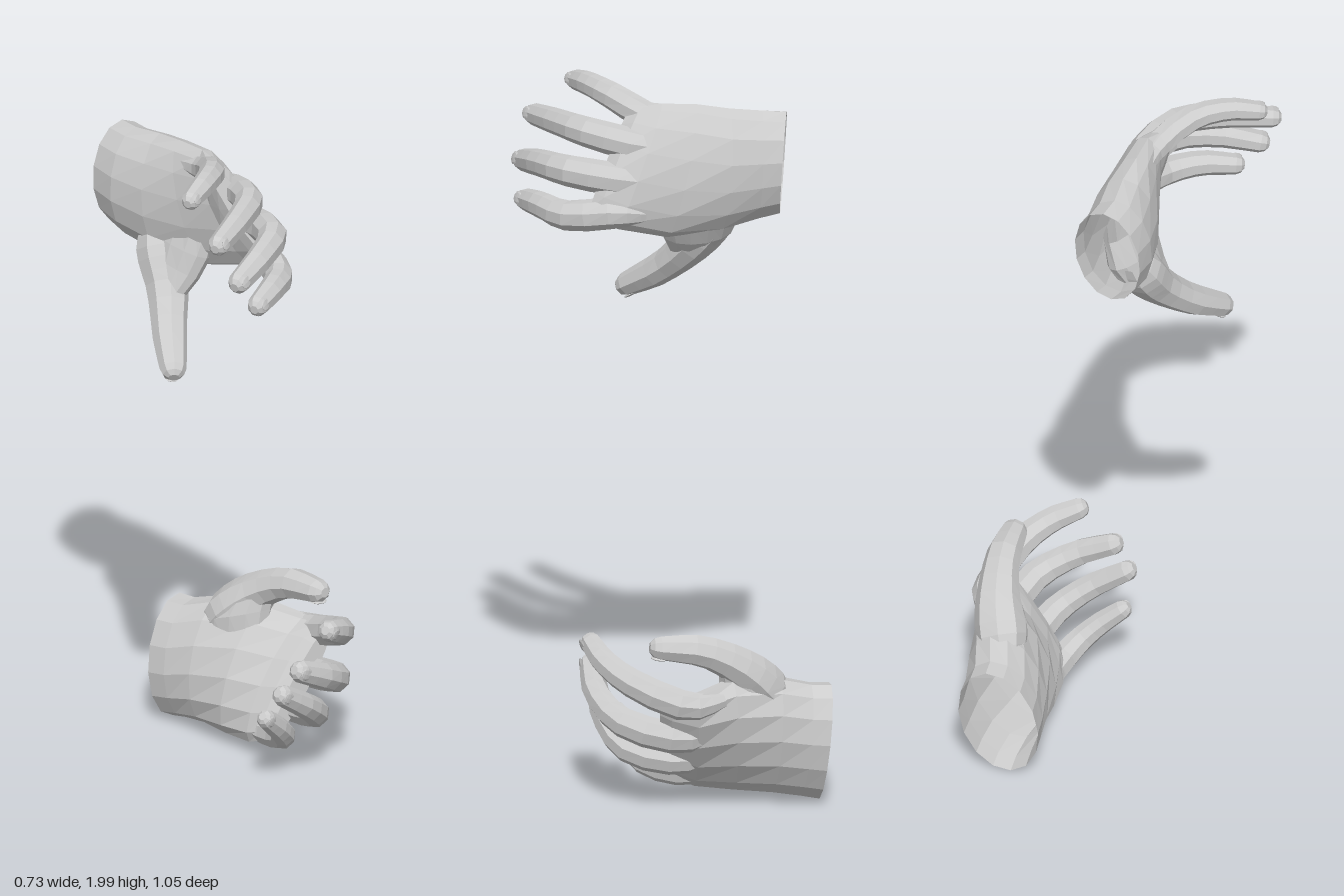
import * as THREE from 'three';

const V = (a) => new THREE.Vector3(a[0], a[1], a[2]);
const skin = new THREE.MeshStandardMaterial({ color: 0xcccccc, flatShading: true, side: THREE.DoubleSide });

// Loft through sections { c: centre, u: half-width vector, th: half thickness }, closed at the far end
function loft(sections, sides) {
  const pos = [], idx = [], last = sections.length - 1;
  sections.forEach((s, i) => {
    const t = sections[Math.min(i + 1, last)].c.clone().sub(sections[Math.max(i - 1, 0)].c);
    const v = t.cross(s.u).setLength(s.th);
    for (let j = 0; j < sides; j++) {
      const a = (j / sides) * Math.PI * 2;
      const p = s.c.clone().addScaledVector(s.u, Math.cos(a)).addScaledVector(v, Math.sin(a));
      pos.push(p.x, p.y, p.z);
    }
  });
  for (let i = 0; i < last; i++) {
    for (let j = 0; j < sides; j++) {
      const k = (j + 1) % sides;
      const a = i * sides + j, b = i * sides + k, c = b + sides, d = a + sides;
      idx.push(a, b, d, b, c, d);
    }
  }
  const tip = pos.length / 3;
  pos.push(...sections[last].c.toArray());
  for (let j = 0; j < sides; j++) idx.push(tip, last * sides + j, last * sides + ((j + 1) % sides));
  const g = new THREE.BufferGeometry();
  g.setAttribute('position', new THREE.Float32BufferAttribute(pos, 3));
  g.setIndex(idx);
  g.computeVertexNormals();
  return g;
}

function mesh(name, geometry) {
  const m = new THREE.Mesh(geometry, skin);
  m.name = name;
  return m;
}

const slab = (name, rows) => mesh(name, loft(rows.map(([c, u, th]) => ({ c: V(c), u: V(u), th })), 14));

// A jointed digit along a curve, with a rounded tip and a nail
function digit(name, points, radii, widthDir, flat, dorsalSign) {
  const group = new THREE.Group();
  group.name = name;
  const curve = new THREE.CatmullRomCurve3(points.map(V));
  const steps = 10, sections = [];
  const frame = (t) => {
    const tan = curve.getTangent(t);
    const u = V(widthDir).addScaledVector(tan, -V(widthDir).dot(tan)).normalize();
    return { tan, u };
  };
  for (let i = 0; i <= steps; i++) {
    const t = i / steps, f = t * (radii.length - 1), k = Math.min(Math.floor(f), radii.length - 2);
    const r = THREE.MathUtils.lerp(radii[k], radii[k + 1], f - k);
    sections.push({ c: curve.getPoint(t), u: frame(t).u.multiplyScalar(r), th: r * flat });
  }
  const { tan, u } = frame(1), end = curve.getPoint(1), r = radii[radii.length - 1];
  for (const [d, s] of [[0.5, 0.8], [0.8, 0.42]]) {
    sections.push({ c: end.clone().addScaledVector(tan, r * d), u: u.clone().multiplyScalar(r * s), th: r * s * flat });
  }
  group.add(mesh(name + 'Body', loft(sections, 8)));

  // Nail plate on the back of the tip
  const dorsal = tan.clone().cross(u).multiplyScalar(dorsalSign);
  const nail = mesh(name + 'Nail', new THREE.SphereGeometry(1, 8, 6));
  nail.quaternion.setFromRotationMatrix(new THREE.Matrix4().makeBasis(tan.clone().cross(dorsal), tan, dorsal));
  nail.scale.set(r * 0.6, r * 0.65, r * 0.14);
  nail.position.copy(end).addScaledVector(dorsal, r * flat * 0.88);
  group.add(nail);
  return group;
}

function hand(name, spec) {
  const group = new THREE.Group();
  group.name = name;
  // Open wrist, palm and knuckle row, then the fleshy web that carries the thumb
  group.add(slab('palm', spec.palm), slab('thumbBase', spec.thumbBase));
  // Four fingers, each rooted inside the palm
  for (const [finger, pts, scale] of spec.fingers) {
    const root = V(pts[0]).add(V(spec.rootOffset));
    const radii = [0.022, 0.04, 0.048, 0.044, 0.04, 0.037, 0.032].map((r) => r * scale);
    group.add(digit(finger, [root.toArray(), ...pts], radii, spec.across, 0.95, spec.dorsal));
  }
  const thumbRadii = [0.05, 0.072, 0.072, 0.062, 0.052, 0.048, 0.038];
  group.add(digit('thumb', spec.thumb, thumbRadii, spec.thumbAcross, 0.9, spec.thumbDorsal));
  return group;
}

export function createModel() {
  const model = new THREE.Group();
  model.name = 'pairOfHands';

  model.add(hand('upperHand', {
    palm: [
      [[-0.287, 1.79, -0.162], [0, -0.15, 0.012], 0.1],
      [[-0.245, 1.783, -0.11], [0, -0.16, 0.01], 0.1],
      [[-0.165, 1.775, -0.05], [0.01, -0.178, 0.01], 0.096],
      [[-0.065, 1.78, 0.02], [0.05, -0.185, 0.01], 0.078],
      [[0.03, 1.8, 0.09], [0.078, -0.168, 0.012], 0.06],
      [[0.06, 1.81, 0.137], [0.093, -0.155, 0.005], 0.048],
      [[0.072, 1.812, 0.165], [0.09, -0.14, 0], 0.028],
    ],
    thumbBase: [
      [[-0.09, 1.74, -0.01], [0.08, 0, 0.09], 0.05],
      [[-0.115, 1.65, 0.0], [0.08, -0.01, 0.09], 0.062],
      [[-0.133, 1.59, 0.02], [0.068, -0.01, 0.075], 0.056],
      [[-0.147, 1.535, 0.055], [0.04, -0.01, 0.05], 0.045],
    ],
    rootOffset: [-0.07, -0.008, -0.06],
    fingers: [
      ['indexFinger', [[0.105, 1.68, 0.1], [0.175, 1.66, 0.235], [0.162, 1.665, 0.34], [0.128, 1.655, 0.432]], 0.97],
      ['middleFinger', [[0.075, 1.768, 0.095], [0.158, 1.785, 0.24], [0.132, 1.775, 0.37], [0.078, 1.748, 0.485]], 1],
      ['ringFinger', [[0.027, 1.86, 0.09], [0.092, 1.885, 0.23], [0.07, 1.882, 0.36], [0.022, 1.866, 0.495]], 0.97],
      ['littleFinger', [[-0.04, 1.92, 0.1], [-0.012, 1.966, 0.23], [-0.03, 1.976, 0.335], [-0.06, 1.965, 0.415]], 0.88],
    ],
    across: [0.35, -0.93, 0],
    dorsal: 1,
    thumb: [[-0.18, 1.68, -0.04], [-0.165, 1.615, 0.0], [-0.147, 1.54, 0.055], [-0.135, 1.45, 0.16], [-0.118, 1.383, 0.272]],
    thumbAcross: [0.95, 0, -0.3],
    thumbDorsal: -1,
  }));

  model.add(hand('lowerHand', {
    palm: [
      [[-0.152, 0.188, -0.435], [0.008, 0.172, -0.035], 0.112],
      [[-0.11, 0.195, -0.4], [0.01, 0.168, -0.035], 0.11],
      [[-0.04, 0.215, -0.35], [0.025, 0.175, -0.045], 0.105],
      [[0.06, 0.225, -0.28], [0.06, 0.178, -0.06], 0.09],
      [[0.15, 0.217, -0.222], [0.08, 0.16, -0.08], 0.067],
      [[0.195, 0.232, -0.18], [0.08, 0.152, -0.075], 0.05],
      [[0.217, 0.241, -0.155], [0.074, 0.14, -0.068], 0.03],
    ],
    thumbBase: [
      [[0.015, 0.28, -0.33], [0.09, 0, 0.06], 0.06],
      [[0.02, 0.36, -0.34], [0.1, 0.04, 0.055], 0.07],
      [[0.045, 0.405, -0.335], [0.085, 0.045, 0.045], 0.06],
      [[0.08, 0.438, -0.325], [0.05, 0.03, 0.03], 0.045],
    ],
    rootOffset: [-0.08, 0.012, -0.05],
    fingers: [
      ['indexFinger', [[0.235, 0.345, -0.285], [0.322, 0.405, -0.14], [0.328, 0.45, -0.04], [0.302, 0.483, 0.032]], 0.97],
      ['middleFinger', [[0.22, 0.24, -0.24], [0.315, 0.28, -0.1], [0.296, 0.335, 0.015], [0.226, 0.388, 0.102]], 1],
      ['ringFinger', [[0.175, 0.155, -0.19], [0.26, 0.185, -0.065], [0.243, 0.25, 0.035], [0.178, 0.322, 0.122]], 0.95],
      ['littleFinger', [[0.105, 0.095, -0.15], [0.17, 0.122, -0.045], [0.163, 0.175, 0.025], [0.13, 0.232, 0.085]], 0.86],
    ],
    across: [0.42, 0.8, -0.42],
    dorsal: -1,
    thumb: [[-0.04, 0.31, -0.36], [0.01, 0.37, -0.35], [0.08, 0.436, -0.325], [0.17, 0.49, -0.268], [0.258, 0.503, -0.19]],
    thumbAcross: [-0.6, 0, 0.8],
    thumbDorsal: 1,
  }));
  return model;
}
